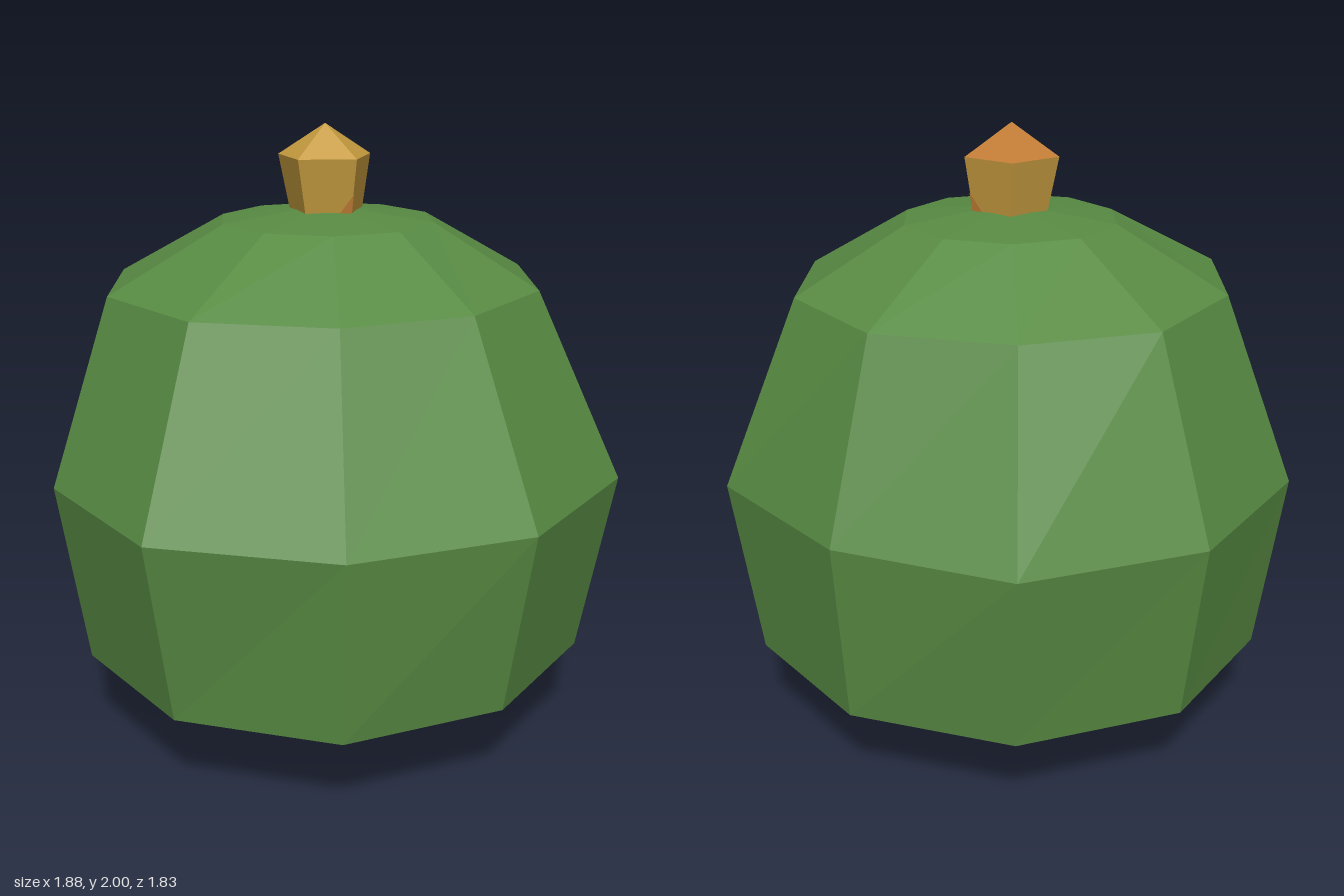
import * as THREE from 'three';

// Flat-faced mesh from a list of triangles, each three [x, y, z] points
function facets(name, triangles, material) {
  const geometry = new THREE.BufferGeometry();
  geometry.setAttribute('position', new THREE.Float32BufferAttribute(triangles.flat(2), 3));
  geometry.computeVertexNormals();
  const mesh = new THREE.Mesh(geometry, material);
  mesh.name = name;
  return mesh;
}

// Ring of [x, z] pairs lifted to a height
const ring = (y, pairs) => pairs.map(([x, z]) => [x, y, z]);

// Regular ring, starting at +x and turning towards +z
function regular(y, n, r, cx) {
  return Array.from({ length: n }, (_, i) => {
    const a = (i / n) * Math.PI * 2;
    return [cx + r * Math.cos(a), y, r * Math.sin(a)];
  });
}

// Wall triangles between two rings
function wall(low, high) {
  return low.flatMap((a, i) => {
    const j = (i + 1) % low.length;
    return [[a, high[i], low[j]], [high[i], high[j], low[j]]];
  });
}

// Fans closing a ring to a point above or below
const fanUp = (r, tip) => r.map((a, i) => [a, tip, r[(i + 1) % r.length]]);
const fanDown = (r, tip) => r.map((a, i) => [a, r[(i + 1) % r.length], tip]);

export function createModel() {
  const green = new THREE.MeshStandardMaterial({ color: 0x588b43, flatShading: true });
  green.name = 'leaf green';
  const gold = new THREE.MeshStandardMaterial({ color: 0xc49a3e, flatShading: true });
  gold.name = 'stem gold';
  const orange = new THREE.MeshStandardMaterial({ color: 0xc07c34, flatShading: true });
  orange.name = 'stem orange';

  const model = new THREE.Group();
  model.name = 'gourd';

  // Ten-sided, slightly uneven body
  const rings = [
    regular(0, 10, 0.295, -0.015),
    ring(0.3, [[0.855, 0], [0.68, 0.51], [0.24, 0.82], [-0.29, 0.83], [-0.71, 0.51],
      [-0.85, 0], [-0.71, -0.5], [-0.29, -0.82], [0.25, -0.82], [0.68, -0.5]]),
    ring(0.9, [[0.94, 0], [0.77, 0.57], [0.28, 0.915], [-0.31, 0.9], [-0.8, 0.57],
      [-0.94, 0], [-0.775, -0.55], [-0.31, -0.91], [0.28, -0.915], [0.725, -0.545]]),
    ring(1.5, [[0.69, 0], [0.54, 0.41], [0.19, 0.65], [-0.23, 0.65], [-0.6, 0.42],
      [-0.74, 0], [-0.59, -0.41], [-0.24, -0.68], [0.19, -0.66], [0.56, -0.42]]),
    regular(1.7, 10, 0.35, -0.015),
  ];
  const bodyFaces = [
    ...fanDown(rings[0], [-0.015, 0, 0]),
    ...rings.slice(1).flatMap((r, i) => wall(rings[i], r)),
    ...fanUp(rings[4], [-0.015, 1.745, 0]),
  ];
  model.add(facets('body', bodyFaces, green));

  // Five-sided flared stem with a pointed cap, its two back facets orange
  const stem = new THREE.Group();
  stem.name = 'stem';
  const base = regular(1.72, 5, 0.122, -0.015);
  const rim = regular(1.9, 5, 0.155, -0.02);
  const cap = fanUp(rim, [-0.02, 2, 0]);
  stem.add(facets('stemSides', [...wall(base, rim), ...fanDown(base, [-0.015, 1.72, 0])], gold));
  stem.add(facets('stemCapFront', cap.slice(0, 3), gold));
  stem.add(facets('stemCapBack', cap.slice(3), orange));

  // Small orange flecks at the foot of two stem sides
  const mix = (a, b, t) => a.map((v, k) => v + (b[k] - v) * t);
  const fleck = (corner, next) => {
    const p = base[corner], q = mix(p, base[next], 0.3), top = mix(p, rim[corner], 0.38);
    const out = ([x, y, z]) => [x * 1.02, y, z * 1.02];
    return (next === (corner + 1) % 5 ? [p, top, q] : [p, q, top]).map(out);
  };
  stem.add(facets('stemFlecks', [fleck(1, 2), fleck(0, 4)], orange));
  model.add(stem);
  return model;
}
